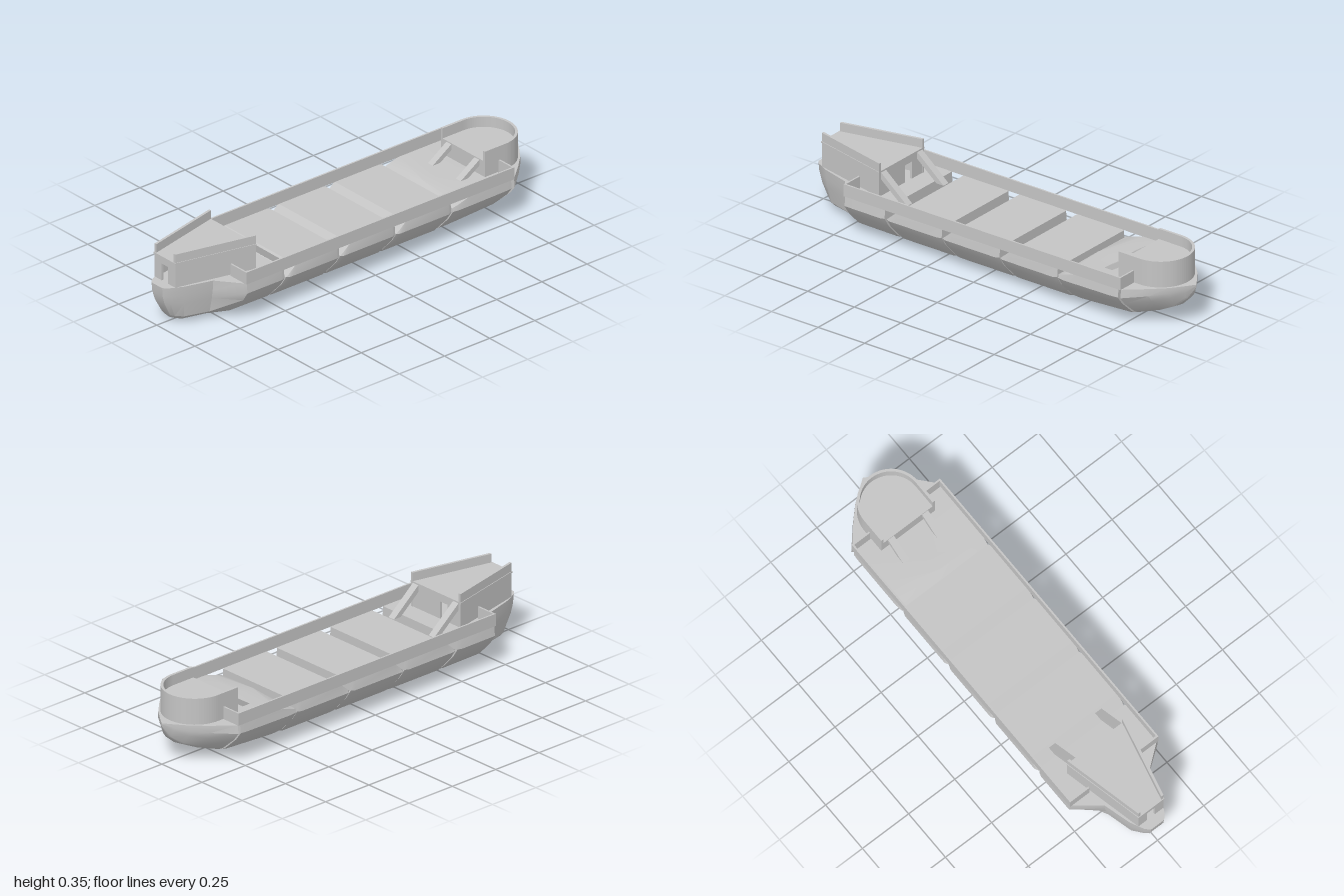
import * as THREE from 'three';
import { toCreasedNormals } from 'three/addons/utils/BufferGeometryUtils.js';

const DECK = 0.195;
// Half cross-sections from deck edge to bilge: [share of half width, share of height]
const FULL = [[0.98, 1], [1, 0.76], [0.88, 0.53], [0.6, 0.16], [0.5, 0.075]];
const BOXY = [[1, 1], [0.97, 0.76], [0.92, 0.53], [0.8, 0.16], [0.6, 0.06]];

// One closed ring of a hull: deck centre, left side, keel, right side
function ring({ z, w = 0.24, keel = 0.004, edge = DECK, mid = edge, form = FULL, rake = 0 }) {
  const at = (x, y, f) => [x, y, z - rake * (1 - f) ** 2];
  const side = s => form.map(([fx, fy]) => at(s * w * fx, Math.min(edge, keel + (DECK - keel) * fy), fy));
  return [at(0, mid, 1), ...side(1), at(0, keel, 0), ...side(-1).reverse()];
}

// Skin the rings (ordered from stern to bow) and close both ends
function loft(sections) {
  const rings = sections.map(ring), n = rings[0].length, pos = [];
  const quad = (a, b, c, d) => pos.push(...a, ...b, ...c, ...a, ...c, ...d);
  for (let i = 0; i < rings.length - 1; i++) {
    const p = rings[i], q = rings[i + 1];
    for (let j = 0; j < n; j++) {
      const k = (j + 1) % n;
      quad(p[j], q[j], q[k], p[k]);
    }
  }
  const back = rings[0], front = rings[rings.length - 1];
  for (let j = 0; j < n / 2; j++) {
    const l = (n - j) % n, m = n - j - 1;
    quad(front[j], front[l], front[m], front[j + 1]);
    quad(back[l], back[j], back[j + 1], back[m]);
  }
  const g = new THREE.BufferGeometry();
  g.setAttribute('position', new THREE.Float32BufferAttribute(pos, 3));
  g.computeVertexNormals();
  return toCreasedNormals(g, 0.5);
}

const polygon = pts => new THREE.Shape(pts.map(p => new THREE.Vector2(...p)));

// Extrude a plan drawn in (x, z) upward from y0 to y1
function upright(shape, y0, y1) {
  const g = new THREE.ExtrudeGeometry(shape, { depth: y1 - y0, bevelEnabled: false, curveSegments: 20 });
  return g.rotateX(-Math.PI / 2).scale(1, 1, 1).translate(0, y0, 0);
}

// Plan shapes are drawn with -z as their vertical axis
const plan = pts => polygon(pts.map(([x, z]) => [x, -z]));

export function createModel() {
  const model = new THREE.Group();
  const grey = new THREE.MeshStandardMaterial({ color: 0xc4c4c4 });
  grey.name = 'hull grey';
  const add = (name, geometry) => {
    const mesh = new THREE.Mesh(geometry, grey);
    mesh.name = name;
    model.add(mesh);
    return mesh;
  };

  // Midship hull blocks, each with its front deck edge sloped down
  [[-0.435, -0.13], [-0.125, 0.18], [0.185, 0.48]].forEach(([a, b], i) => {
    add('hullBlock' + (i + 1), loft([
      { z: a, w: 0.232, keel: 0.008 },
      { z: a + 0.02 },
      { z: b - 0.052 },
      { z: b - 0.015, edge: 0.163 },
      { z: b, w: 0.232, edge: 0.15, keel: 0.008 },
    ]));
  });

  // Rear hull block with a rising keel and a peaked front deck
  add('rearHullBlock', loft([
    { z: -0.765, w: 0.238, keel: 0.028 },
    { z: -0.74, keel: 0.023 },
    { z: -0.54, keel: 0.011 },
    { z: -0.475, keel: 0.008, edge: 0.176, mid: DECK },
    { z: -0.442, w: 0.235, keel: 0.008, edge: 0.166, mid: 0.168 },
  ]));

  // Pointed stern
  add('stern', loft([
    { z: -1, w: 0.002, keel: 0.18 },
    { z: -0.97, w: 0.045, keel: 0.125 },
    { z: -0.93, w: 0.1, keel: 0.085 },
    { z: -0.87, w: 0.16, keel: 0.058 },
    { z: -0.78, w: 0.24, keel: 0.034 },
  ]));

  // Bow, narrowing to a raked stem
  add('bow', loft([
    { z: 0.49, w: 0.234, keel: 0.008 },
    { z: 0.51, keel: 0.005 },
    { z: 0.7, keel: 0.007 },
    { z: 0.79, w: 0.122, keel: 0.008, form: BOXY },
    { z: 0.92, w: 0.085, keel: 0.012, form: BOXY, rake: 0.02 },
    { z: 0.98, w: 0.055, keel: 0.016, form: BOXY, rake: 0.06 },
    { z: 1, w: 0.035, keel: 0.02, form: BOXY, rake: 0.07 },
  ]));

  // Bulwarks with cross plates at their ends
  for (const s of [-1, 1]) {
    const side = s > 0 ? 'left' : 'right';
    add(side + 'Bulwark', new THREE.BoxGeometry(0.008, 0.057, 1.48)).position.set(s * 0.235, 0.2225, -0.035);
    add(side + 'FrontPlate', new THREE.BoxGeometry(0.104, 0.057, 0.008)).position.set(s * 0.187, 0.2225, 0.702);
    add(side + 'RearPlate', new THREE.BoxGeometry(0.096, 0.057, 0.008)).position.set(s * 0.191, 0.2225, -0.775);
  }

  // Round stern platform with a rim that is open towards the front
  const rim = 0.145, inner = 0.133, cz = 0.81, open = 0.695;
  const base = new THREE.Shape();
  base.moveTo(rim, open).lineTo(rim, cz);
  base.absarc(0, cz, rim, 0, Math.PI, false);
  base.lineTo(-rim, open);
  add('sternPlatform', upright(base, 0.19, 0.268));
  const wall = new THREE.Shape();
  wall.moveTo(rim, open).lineTo(rim, cz);
  wall.absarc(0, cz, rim, 0, Math.PI, false);
  wall.lineTo(-rim, open).lineTo(-inner, open).lineTo(-inner, cz);
  wall.absarc(0, cz, inner, Math.PI, 0, true);
  wall.lineTo(inner, open);
  add('sternPlatformRim', upright(wall, 0.268, 0.316));

  // Deckhouse: tapered side walls, roof and parapets
  const zb = 0.58, zf = 0.955, wb = 0.155, wf = 0.068;
  const strip = s => plan([[s * wb, zb], [s * wf, zf], [s * (wf - 0.012), zf], [s * (wb - 0.012), zb]]);
  for (const s of [-1, 1]) {
    const side = s > 0 ? 'left' : 'right';
    add(side + 'HouseWall', upright(strip(s), 0.19, 0.309));
    add(side + 'Parapet', upright(strip(s), 0.313, 0.353));
  }
  add('houseRoof', upright(plan([[-wb - 0.003, zb], [wb + 0.003, zb], [wf + 0.002, zf + 0.004], [-wf - 0.002, zf + 0.004]]), 0.306, 0.313));

  // End walls with doorways
  const endWall = (name, half, x0, x1, z) => {
    const shape = polygon([[-half, 0.19], [x0, 0.19], [x0, 0.275], [x1, 0.275], [x1, 0.19], [half, 0.19], [half, 0.306], [-half, 0.306]]);
    add(name, new THREE.ExtrudeGeometry(shape, { depth: 0.01, bevelEnabled: false })).position.z = z;
  };
  endWall('houseFrontWall', wf, -0.021, 0.021, zf - 0.01);
  endWall('houseBackWall', wb - 0.006, -0.072, -0.026, zb + 0.002);

  // Slanted struts: profile drawn in (z, y), spread across x
  const strut = (name, x, width, profile) => {
    const g = new THREE.ExtrudeGeometry(polygon(profile.map(([z, y]) => [-z, y])), { depth: width, bevelEnabled: false });
    g.rotateY(Math.PI / 2).translate(x - width / 2, 0, 0);
    add(name, g);
  };
  for (const s of [-1, 1]) {
    const side = s > 0 ? 'left' : 'right';
    strut(side + 'HouseStrut', s * 0.125, 0.034, [[0.585, 0.31], [0.44, 0.19], [0.478, 0.19], [0.585, 0.278]]);
    strut(side + 'PlatformStrut', s * 0.092, 0.032, [[-0.7, 0.266], [-0.585, 0.19], [-0.625, 0.19], [-0.7, 0.238]]);
  }
  return model;
}
